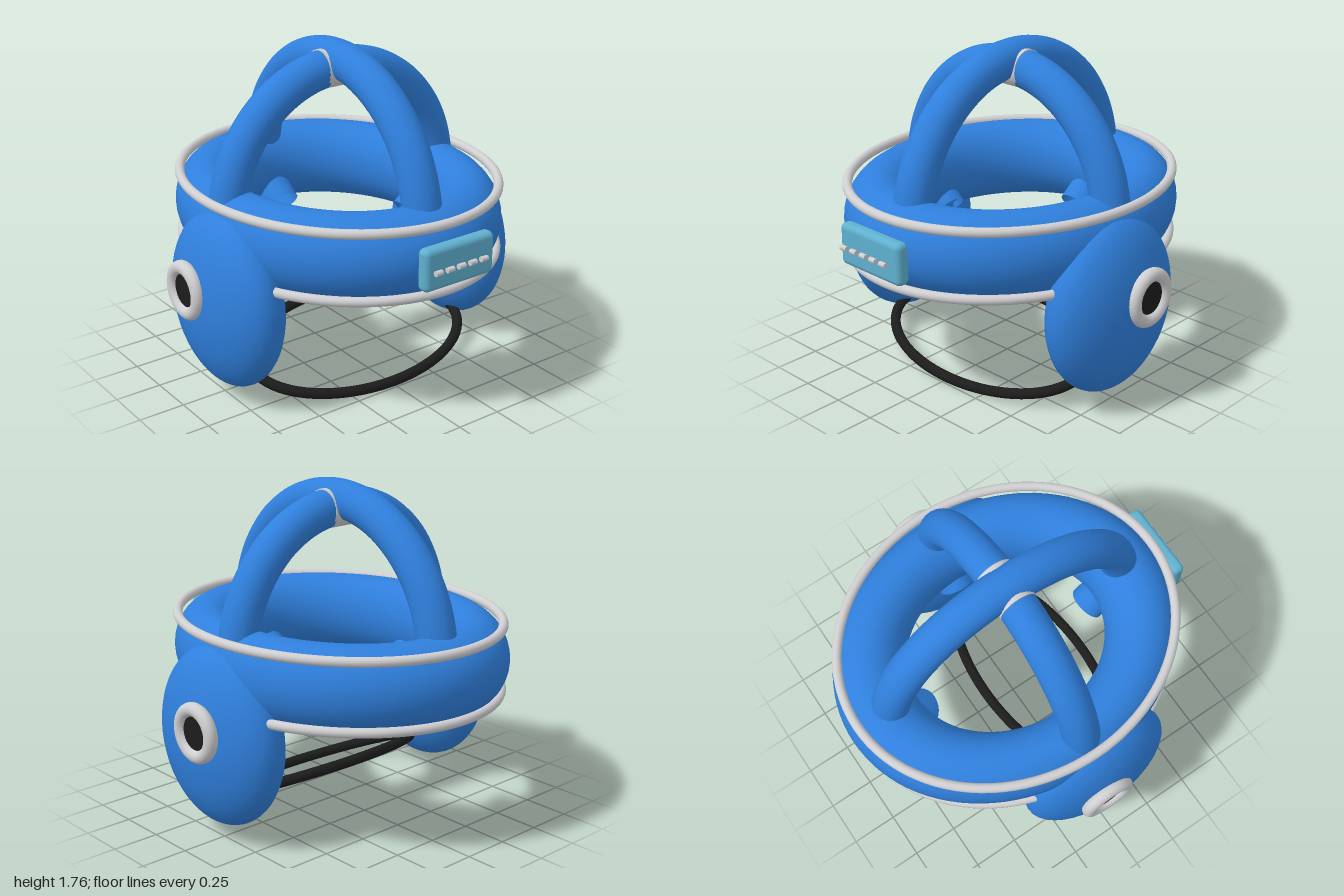
import * as THREE from 'three';
import { RoundedBoxGeometry } from 'three/addons/geometries/RoundedBoxGeometry.js';

const material = (name, color, side = THREE.FrontSide) => {
  const m = new THREE.MeshStandardMaterial({ color, side });
  m.name = name;
  return m;
};

// Closed elliptical tube around the y axis; the front can be dipped by 'drop'
function hoop(rx, rz, radius, drop = 0) {
  const points = [];
  for (let i = 0; i < 32; i++) {
    const a = (i / 32) * Math.PI * 2;
    points.push(new THREE.Vector3(rx * Math.cos(a), -drop * Math.sin(a), rz * Math.sin(a)));
  }
  const path = new THREE.CatmullRomCurve3(points, true);
  return new THREE.TubeGeometry(path, 96, radius, 14, true);
}

// Overhead arch in the xy plane whose feet turn inward
function arch(width, height, baseY, radius) {
  const points = [new THREE.Vector3(width * 0.74, baseY - 0.25, 0), new THREE.Vector3(width * 0.92, baseY - 0.14, 0)];
  for (let i = 0; i <= 16; i++) {
    const a = (i / 16) * Math.PI;
    points.push(new THREE.Vector3(width * Math.cos(a), baseY + height * Math.sin(a), 0));
  }
  points.push(new THREE.Vector3(-width * 0.92, baseY - 0.14, 0), new THREE.Vector3(-width * 0.74, baseY - 0.25, 0));
  return new THREE.TubeGeometry(new THREE.CatmullRomCurve3(points), 72, radius, 24);
}

export function createModel() {
  const model = new THREE.Group();
  model.name = 'paddedHeadgear';
  const blue = material('blue padding', 0x2f7fdc, THREE.DoubleSide);
  const white = material('white trim', 0xcfcfd2);
  const black = material('black strap', 0x1c1c1c);
  const cyan = material('cyan panel', 0x5fb0cf);

  const add = (name, geometry, mat, x = 0, y = 0, z = 0, parent = model) => {
    const mesh = new THREE.Mesh(geometry, mat);
    mesh.name = name;
    mesh.position.set(x, y, z);
    parent.add(mesh);
    return mesh;
  };

  // Padded headband with two piping rings
  const band = new THREE.TorusGeometry(0.75, 0.2, 32, 96).rotateX(Math.PI / 2).scale(0.85, 1.08, 1);
  add('headband', band, blue, 0, 0.885, -0.047);
  add('upperPiping', hoop(0.79, 0.91, 0.025), white, 0, 1.063, -0.037);
  add('lowerPiping', hoop(0.79, 0.91, 0.025), white, 0, 0.715, -0.037);

  // Crossed arches over the crown
  add('lengthwiseArch', arch(0.715, 0.72, 0.95, 0.1).rotateY(Math.PI / 2), blue, 0, 0, -0.04);
  add('crosswiseArch', arch(0.67, 0.68, 0.95, 0.1), blue, 0, 0, -0.04);
  add('crownSleeve', new THREE.CylinderGeometry(0.102, 0.102, 0.212, 24).rotateZ(Math.PI / 2), white, 0, 1.626, -0.04);

  // Ear pads, each with a ringed ear opening
  for (const side of [1, -1]) {
    const ear = new THREE.Group();
    ear.name = side > 0 ? 'leftEar' : 'rightEar';
    model.add(ear);
    add('earPad', new THREE.SphereGeometry(1, 40, 28).scale(0.21, 0.47, 0.427), blue, side * 0.73, 0.55, 0.025, ear);
    add('earRing', new THREE.TorusGeometry(0.12, 0.036, 16, 40).rotateY(Math.PI / 2), white, side * 0.935, 0.627, -0.034, ear);
    add('earOpening', new THREE.CylinderGeometry(0.105, 0.105, 0.07, 32).rotateZ(Math.PI / 2), black, side * 0.91, 0.627, -0.034, ear);
  }

  // Tilted chin strap
  add('chinStrap', hoop(0.66, 0.335, 0.028, 0.125), black, 0, 0.16, 0.145);

  // Front panel with a row of small bars
  add('frontPanel', new RoundedBoxGeometry(0.43, 0.22, 0.075, 4, 0.03), cyan, 0, 0.89, 0.927);
  for (let i = 0; i < 5; i++) {
    const bar = new THREE.CylinderGeometry(0.014, 0.014, 0.04, 12).rotateZ(Math.PI / 2);
    add('panelBar', bar, white, -0.156 + i * 0.0705, 0.887, 0.985);
  }
  return model;
}
